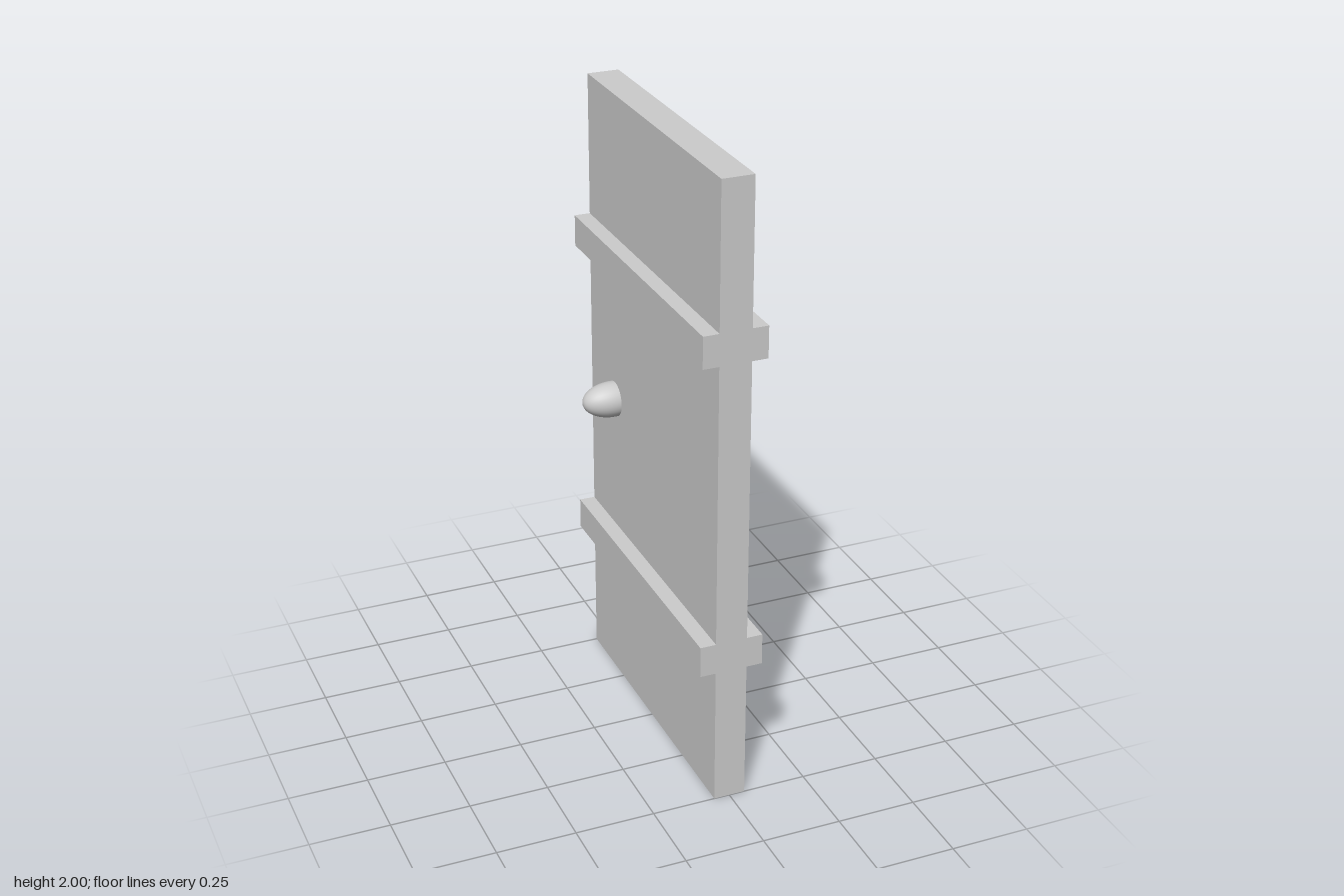
import * as THREE from 'three';

const HALF_THICK = 0.05, HEIGHT = 2, WIDTH = 1;
const BATTEN_REACH = 0.1, BATTEN_HALF = 0.05, BATTEN_HEIGHTS = [0.5, 1.5];

export function createModel() {
  const model = new THREE.Group();
  model.name = 'door';
  const material = new THREE.MeshStandardMaterial({ color: 0xcccccc });

  // Door leaf and its battens: one stepped edge profile, mirrored and run across the width
  const edge = [[HALF_THICK, 0]];
  for (const y of BATTEN_HEIGHTS) {
    edge.push(
      [HALF_THICK, y - BATTEN_HALF], [BATTEN_REACH, y - BATTEN_HALF],
      [BATTEN_REACH, y + BATTEN_HALF], [HALF_THICK, y + BATTEN_HALF]);
  }
  edge.push([HALF_THICK, HEIGHT]);
  const mirrored = edge.map(([x, y]) => [-x, y]).reverse();
  const profile = new THREE.Shape([...edge, ...mirrored].map(([x, y]) => new THREE.Vector2(x, y)));
  const leafGeometry = new THREE.ExtrudeGeometry(profile, { depth: WIDTH, bevelEnabled: false });
  leafGeometry.translate(0, 0, -WIDTH / 2);
  const leaf = new THREE.Mesh(leafGeometry, material);
  leaf.name = 'leafWithBattens';
  model.add(leaf);

  // Domed knobs, one on each face, cut off where they meet the leaf
  const knobGeometry = new THREE.SphereGeometry(1, 32, 20, 0, Math.PI * 2, 0, 1.68);
  knobGeometry.scale(0.057, 0.098, 0.057);
  for (const side of [1, -1]) {
    const knob = new THREE.Mesh(knobGeometry, material);
    knob.name = side > 0 ? 'leftKnob' : 'rightKnob';
    knob.position.set(side * 0.06, 1, -0.3);
    knob.rotation.z = -side * Math.PI / 2;
    model.add(knob);
  }

  return model;
}
